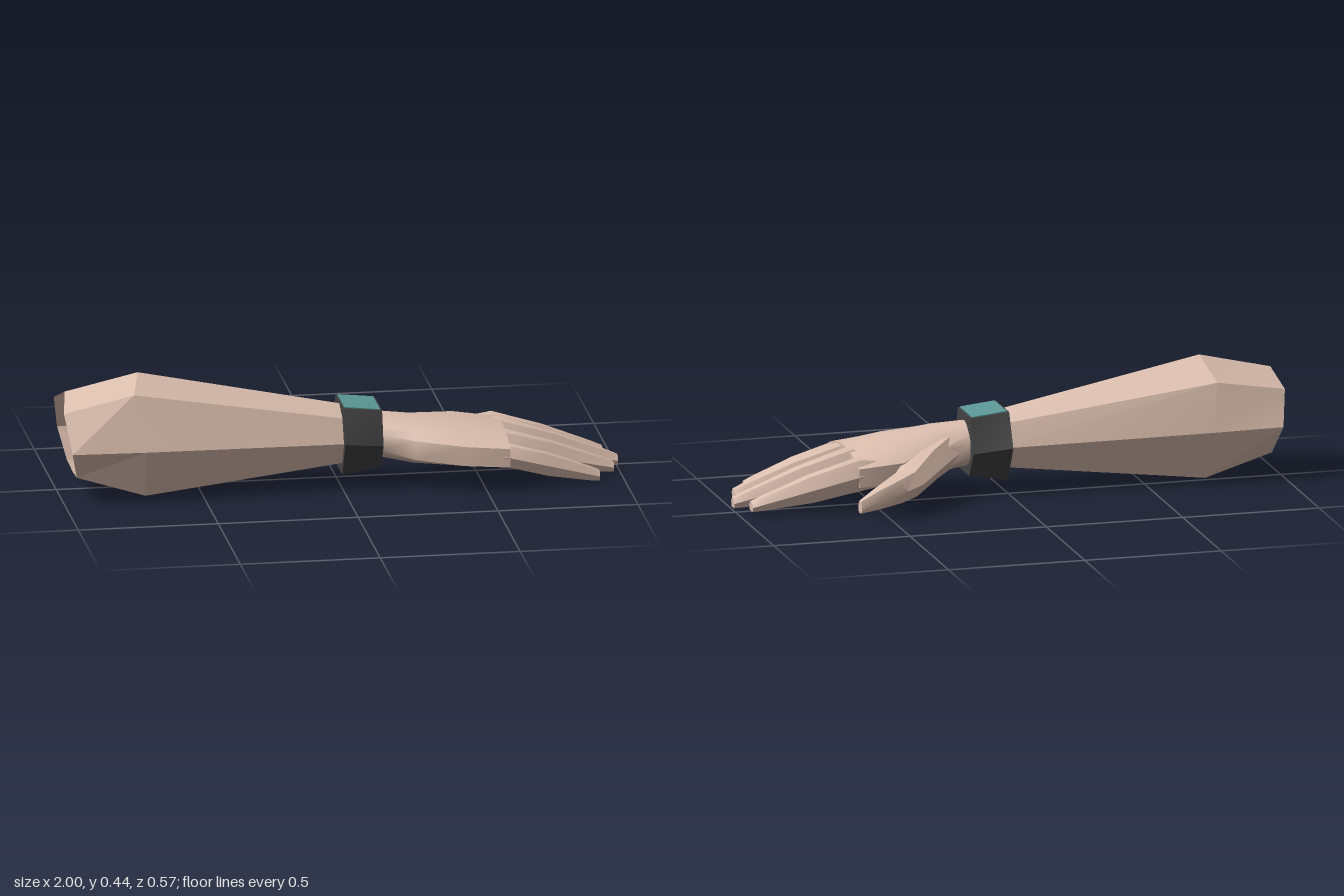
import * as THREE from 'three';
import { toCreasedNormals } from 'three/addons/utils/BufferGeometryUtils.js';

// Skin a list of rings (each an array of [x, y, z]) running towards +x.
// Ring points run top, +z side, bottom, -z side.
function loft(rings, crease, capStart, capEnd) {
  const n = rings[0].length;
  const index = [];
  for (let i = 0; i < rings.length - 1; i++) {
    for (let j = 0; j < n; j++) {
      const a = i * n + j, b = i * n + (j + 1) % n;
      index.push(a, b, a + n, b, b + n, a + n);
    }
  }
  const last = (rings.length - 1) * n;
  for (let j = 1; j < n - 1; j++) {
    if (capStart) index.push(0, j + 1, j);
    if (capEnd) index.push(last, last + j, last + j + 1);
  }
  const geo = new THREE.BufferGeometry();
  geo.setAttribute('position', new THREE.Float32BufferAttribute(rings.flat(2), 3));
  geo.setIndex(index);
  return toCreasedNormals(geo, crease);
}

// Six-sided finger section between an outer (a) and an inner (b) point.
function section(ax, az, bx, bz, top, bot) {
  const at = (t, y) => [ax + (bx - ax) * t, y, az + (bz - az) * t];
  const mid = bot + (top - bot) * 0.5;
  return [at(0.25, top), at(0.75, top), at(1, mid), at(0.82, bot), at(0.18, bot), at(0, mid)];
}

// Palm section: arched top and bottom with a thin vertical edge at each side.
function palmSection([x, z0, z1, topEdge, topPeak, botEdge, botPeak]) {
  const cols = 8, top = [], bottom = [];
  for (let k = 0; k <= cols; k++) {
    const t = k / cols, arch = 1 - (2 * t - 1) ** 2, z = z0 + (z1 - z0) * t;
    top.push([x, topEdge + (topPeak - topEdge) * arch, z]);
    bottom.unshift([x, botEdge + (botPeak - botEdge) * arch, z]);
  }
  return [...top, ...bottom];
}

export function createModel() {
  const skin = new THREE.MeshStandardMaterial({ color: 0xdcbfaf, side: THREE.DoubleSide });
  skin.name = 'skin';
  const strap = new THREE.MeshStandardMaterial({ color: 0x434343 });
  strap.name = 'dark strap';
  const glass = new THREE.MeshStandardMaterial({ color: 0x5c9997 });
  glass.name = 'teal screen';

  const model = new THREE.Group();
  model.name = 'armWithWristband';
  const add = (parent, name, geo, mat) => {
    const mesh = new THREE.Mesh(geo, mat);
    mesh.name = name;
    parent.add(mesh);
    return mesh;
  };

  // Forearm: eight-sided, open at the elbow
  const elbow = [
    [-0.98, 0.38, 0.065], [-1, 0.33, 0.175], [-0.98, 0.2, 0.248], [-0.955, 0.095, 0.18],
    [-0.95, 0.08, 0.065], [-0.955, 0.095, -0.045], [-0.98, 0.2, -0.108], [-1, 0.325, -0.055],
  ];
  const muscle = [
    [-0.72, 0.44, 0.068], [-0.75, 0.39, 0.182], [-0.72, 0.197, 0.25], [-0.71, 0.02, 0.19],
    [-0.7, 0, 0.07], [-0.71, 0.02, -0.05], [-0.72, 0.197, -0.11], [-0.75, 0.367, -0.066],
  ];
  const wrist = [
    [0.05, 0.283, 0.073], [0.05, 0.25, 0.143], [0.05, 0.172, 0.176], [0.05, 0.1, 0.143],
    [0.05, 0.088, 0.073], [0.05, 0.1, 0.003], [0.05, 0.172, -0.03], [0.05, 0.25, 0.003],
  ];
  add(model, 'forearm', loft([elbow, muscle, wrist], 0.2, false, false), skin);

  // Hand
  const hand = new THREE.Group();
  hand.name = 'hand';
  model.add(hand);

  // x, z range, top edge and peak, bottom edge and peak
  const palm = [
    [0.08, -0.01, 0.155, 0.2, 0.262, 0.15, 0.095],
    [0.14, -0.012, 0.162, 0.195, 0.258, 0.14, 0.095],
    [0.25, -0.04, 0.22, 0.185, 0.246, 0.115, 0.078],
    [0.42, -0.13, 0.27, 0.17, 0.228, 0.1, 0.068],
    [0.58, -0.128, 0.28, 0.158, 0.197, 0.09, 0.07],
  ].map(palmSection);
  add(hand, 'palm', loft(palm, 0.9, true, true), skin);

  // Fingers: tip x, base z range, tip z range, base top/bottom, tip top/bottom
  const fingers = {
    indexFinger: [0.96, -0.13, -0.032, -0.09, -0.038, 0.185, 0.075, 0.05, 0.018],
    middleFinger: [1.0, -0.03, 0.083, 0.008, 0.055, 0.198, 0.07, 0.045, 0.01],
    ringFinger: [0.97, 0.087, 0.197, 0.108, 0.155, 0.188, 0.07, 0.05, 0.018],
    littleFinger: [0.905, 0.2, 0.281, 0.208, 0.25, 0.165, 0.088, 0.05, 0.015],
  };
  for (const [name, [tip, a0, a1, b0, b1, topA, botA, topB, botB]] of Object.entries(fingers)) {
    const rings = [section(0.5, a0 + 0.01, 0.5, a1 - 0.01, topA - 0.01, botA + 0.01)];
    for (const t of [0, 0.45, 0.9, 1]) {
      const x = 0.57 + (tip - 0.57) * t;
      const bulge = 0.04 * t * (1 - t);
      const mix = (a, b) => a + (b - a) * t;
      rings.push(section(x, mix(a0, b0), x, mix(a1, b1), mix(topA, topB) + bulge, mix(botA, botB) - bulge));
    }
    add(hand, name, loft(rings, 0.6, true, true), skin);
  }

  // Thumb: splayed towards -z
  const thumb = [
    [0.16, 0.0, 0.3, 0.08, 0.225, 0.115],
    [0.25, -0.088, 0.42, -0.03, 0.195, 0.092],
    [0.37, -0.212, 0.47, -0.14, 0.152, 0.065],
    [0.44, -0.25, 0.52, -0.195, 0.138, 0.055],
    [0.54, -0.28, 0.57, -0.232, 0.112, 0.045],
    [0.615, -0.286, 0.622, -0.258, 0.08, 0.037],
  ].map((s) => section(...s));
  add(hand, 'thumb', loft(thumb, 0.8, true, true), skin);

  // Wristband: tapered six-sided cuff
  const band = [
    [[0, 0.3, -0.015], [0, 0.3, 0.16], [0, 0.18, 0.212], [0, 0.05, 0.145], [0, 0.05, 0], [0, 0.18, -0.07]],
    [[0.14, 0.285, -0.012], [0.14, 0.285, 0.157], [0.14, 0.163, 0.192], [0.14, 0.07, 0.135],
      [0.14, 0.07, 0.01], [0.14, 0.163, -0.05]],
  ];
  add(model, 'wristband', loft(band, 0.2, true, true), strap);

  // Screen on top of the wristband
  const screen = add(model, 'screen', new THREE.BoxGeometry(0.128, 0.006, 0.16), glass);
  screen.position.set(0.07, 0.2925, 0.0725);
  screen.rotation.z = -0.107;

  return model;
}
